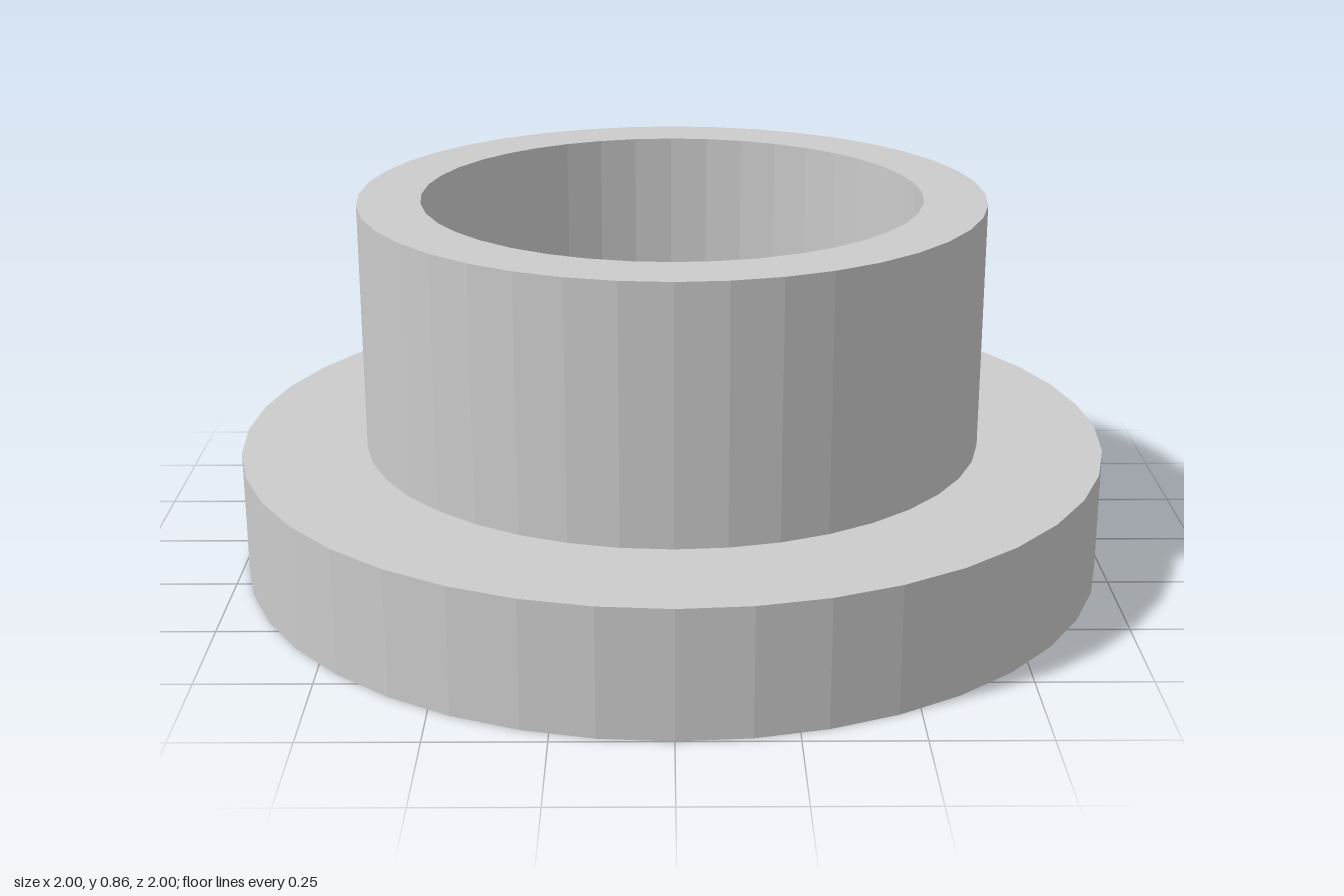
import * as THREE from 'three';

const SIDES = 40;
const BORE = 0.571, SLEEVE = 0.714, FLANGE = 1;
const FLANGE_TOP = 0.286, SLEEVE_TOP = 0.857;

export function createModel() {
  const group = new THREE.Group();
  group.name = 'flangedBushing';

  // Closed profile: underside, flange rim, flange top, sleeve wall, sleeve rim, bore
  const profile = [
    [BORE, 0], [FLANGE, 0], [FLANGE, FLANGE_TOP], [SLEEVE, FLANGE_TOP],
    [SLEEVE, SLEEVE_TOP], [BORE, SLEEVE_TOP], [BORE, 0],
  ].map(([r, y]) => new THREE.Vector2(r, y));

  // Faceted solid of revolution, one flat normal per face
  const geometry = new THREE.LatheGeometry(profile, SIDES).toNonIndexed();
  geometry.computeVertexNormals();

  const material = new THREE.MeshStandardMaterial({ color: 0xcccccc, flatShading: true });
  const bushing = new THREE.Mesh(geometry, material);
  bushing.name = 'flangeAndSleeve';
  group.add(bushing);
  return group;
}
